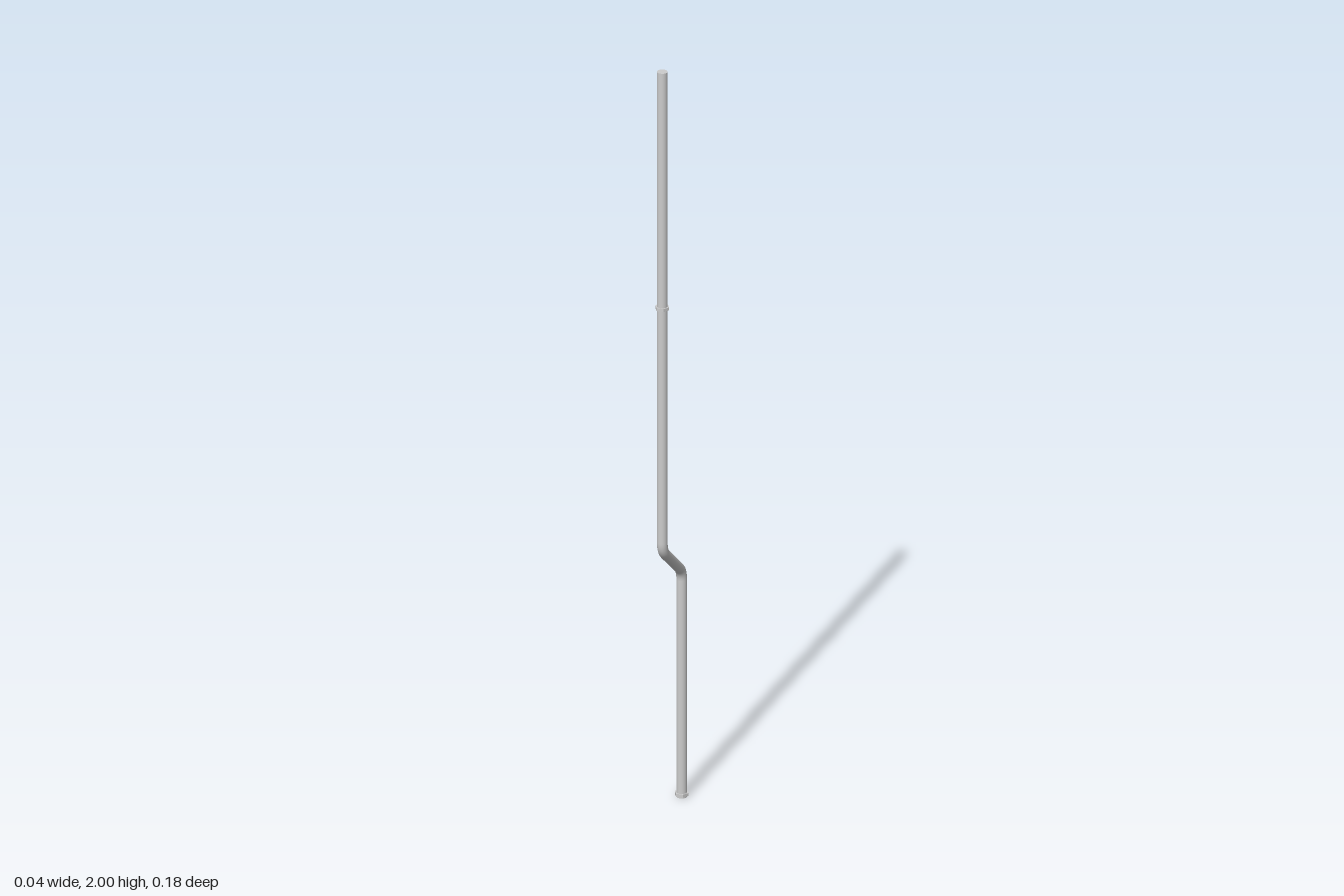
import * as THREE from 'three';

const R = 0.0132, FRONT_Z = 0.071, BACK_Z = -0.058;
const material = new THREE.MeshStandardMaterial({ color: 0xcccccc });
const flatMaterial = new THREE.MeshStandardMaterial({ color: 0xcccccc, flatShading: true });

function add(parent, name, geometry, mat = material) {
  const mesh = new THREE.Mesh(geometry, mat);
  mesh.name = name;
  parent.add(mesh);
  return mesh;
}

// Hexagonal clamp around the pipe with a wall spike pointing backwards
function makeClamp(name, y, z) {
  const clamp = new THREE.Group();
  clamp.name = name;
  clamp.position.set(0, y, z);

  const shape = new THREE.Shape();
  for (let i = 0; i < 6; i++) {
    const a = i * Math.PI / 3;
    shape[i ? 'lineTo' : 'moveTo'](0.018 * Math.cos(a), 0.018 * Math.sin(a));
  }
  shape.holes.push(new THREE.Path().absarc(0, 0, R * 0.98, 0, Math.PI * 2, true));
  const ring = new THREE.ExtrudeGeometry(shape, { depth: 0.008, bevelEnabled: false, curveSegments: 8 });
  ring.translate(0, 0, -0.004).rotateX(-Math.PI / 2);
  add(clamp, 'clampRing', ring, flatMaterial);

  const spike = new THREE.ConeGeometry(0.002, 0.016, 6);
  spike.rotateX(-Math.PI / 2).translate(0, 0, -0.0225);
  add(clamp, 'wallSpike', spike);
  return clamp;
}

export function createModel() {
  const model = new THREE.Group();
  model.name = 'drainpipe';

  // Pipe centreline: two uprights joined by a sloping offset with rounded bends
  const p = (y, z) => new THREE.Vector3(0, y, z);
  const top = p(2, FRONT_Z), upper = p(0.712, FRONT_Z), lower = p(0.607, BACK_Z), foot = p(0, BACK_Z);
  const toward = (a, b, d) => a.clone().add(b.clone().sub(a).setLength(d));
  const trim = 0.024;
  const u0 = toward(upper, top, trim), u1 = toward(upper, lower, trim);
  const l0 = toward(lower, upper, trim), l1 = toward(lower, foot, trim);
  const sections = [
    ['upperPipe', new THREE.LineCurve3(top, u0), 1],
    ['upperBend', new THREE.QuadraticBezierCurve3(u0, upper, u1), 8],
    ['offsetPipe', new THREE.LineCurve3(u1, l0), 1],
    ['lowerBend', new THREE.QuadraticBezierCurve3(l0, lower, l1), 8],
    ['lowerPipe', new THREE.LineCurve3(l1, foot), 1],
  ];
  for (const [name, curve, steps] of sections) {
    add(model, name, new THREE.TubeGeometry(curve, steps, R, 20));
  }

  // End caps
  for (const [name, end, turn] of [['topCap', top, -1], ['bottomCap', foot, 1]]) {
    const cap = add(model, name, new THREE.CircleGeometry(R, 20));
    cap.rotation.x = turn * Math.PI / 2;
    cap.position.copy(end);
  }

  model.add(makeClamp('middleClamp', 1.366, FRONT_Z), makeClamp('footClamp', 0.008, BACK_Z));
  return model;
}
